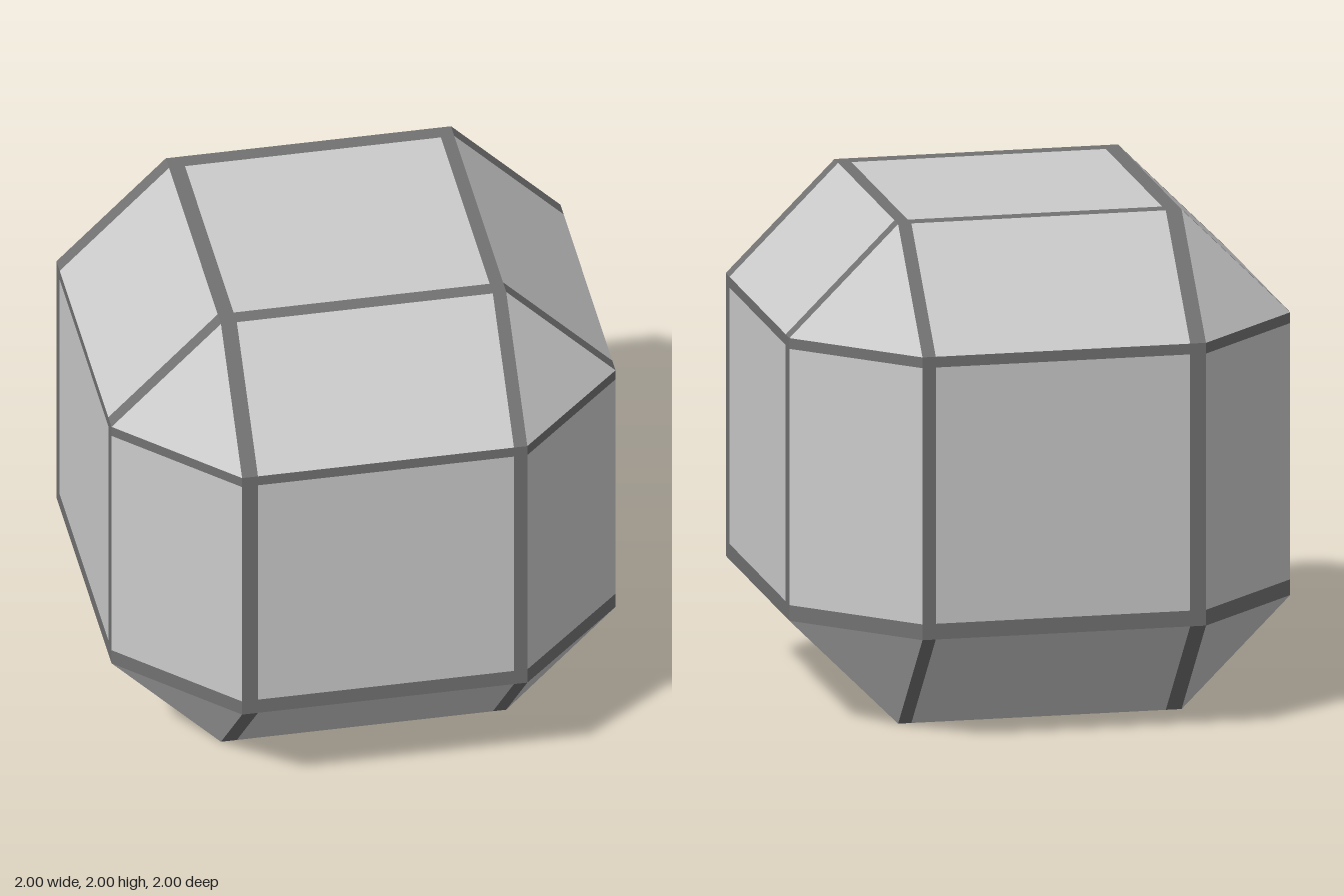
import * as THREE from 'three';

const A = 0.566; // half width of the six square faces; the solid reaches out to 1
// Where the dark border ends and the light panel begins, per axis (x, y, z)
const CUT = [[-0.503, 0.513], [-0.503, 0.523], [-0.5, 0.5]];

// Flat polygon (3 or 4 corners), always wound to face away from the centre
function addFace(list, corners) {
  const [a, b, c, d] = corners.map((p) => new THREE.Vector3(...p));
  const n = b.clone().sub(a).cross(c.clone().sub(a));
  const tri = (p, q, r) => list.push(...(n.dot(a) > 0 ? [p, q, r] : [p, r, q]));
  tri(a, b, c);
  if (d) tri(a, c, d);
}

function makeMesh(name, points, color) {
  const geometry = new THREE.BufferGeometry().setFromPoints(points);
  geometry.computeVertexNormals();
  const mesh = new THREE.Mesh(geometry, new THREE.MeshStandardMaterial({ color, flatShading: true }));
  mesh.name = name;
  mesh.position.y = 1;
  return mesh;
}

// Point from values on axes i, j, k
function at(i, vi, j, vj, k, vk) {
  const p = [0, 0, 0];
  p[i] = vi; p[j] = vj; p[k] = vk;
  return p;
}

export function createModel() {
  const squares = [], bevels = [], corners = [], squareBorders = [], bevelBorders = [];
  const signs = [-1, 1];

  for (let i = 0; i < 3; i++) {
    const j = (i + 1) % 3, k = (i + 2) % 3;

    // Square faces: light centre with a dark border
    for (const s of signs) {
      const bottom = i === 1 && s < 0; // the underside has a border on two sides only
      const u = [-A, bottom ? -A : CUT[j][0], CUT[j][1], A];
      const v = [-A, bottom ? -A : CUT[k][0], CUT[k][1], A];
      for (let m = 0; m < 3; m++) for (let n = 0; n < 3; n++) {
        if (u[m] === u[m + 1] || v[n] === v[n + 1]) continue;
        addFace(m === 1 && n === 1 ? squares : squareBorders, [
          at(i, s, j, u[m], k, v[n]), at(i, s, j, u[m + 1], k, v[n]),
          at(i, s, j, u[m + 1], k, v[n + 1]), at(i, s, j, u[m], k, v[n + 1]),
        ]);
      }
    }

    // Bevels running along axis i, with a dark band at each end
    const w = [-A, ...CUT[i], A];
    for (const sj of signs) for (const sk of signs) for (let m = 0; m < 3; m++) {
      addFace(m === 1 ? bevels : bevelBorders, [
        at(i, w[m], j, sj, k, sk * A), at(i, w[m + 1], j, sj, k, sk * A),
        at(i, w[m + 1], j, sj * A, k, sk), at(i, w[m], j, sj * A, k, sk),
      ]);
    }
  }

  // Corner triangles
  for (const x of signs) for (const y of signs) for (const z of signs) {
    addFace(corners, [[x, y * A, z * A], [x * A, y, z * A], [x * A, y * A, z]]);
  }

  const group = new THREE.Group();
  group.name = 'bevelledCube';
  group.add(
    makeMesh('squarePanels', squares, 0xcccccc),
    makeMesh('bevelPanels', bevels, 0xcccccc),
    makeMesh('cornerPanels', corners, 0xcccccc),
    makeMesh('squareBorders', squareBorders, 0x727272),
    makeMesh('bevelBorders', bevelBorders, 0x727272),
  );
  return group;
}
